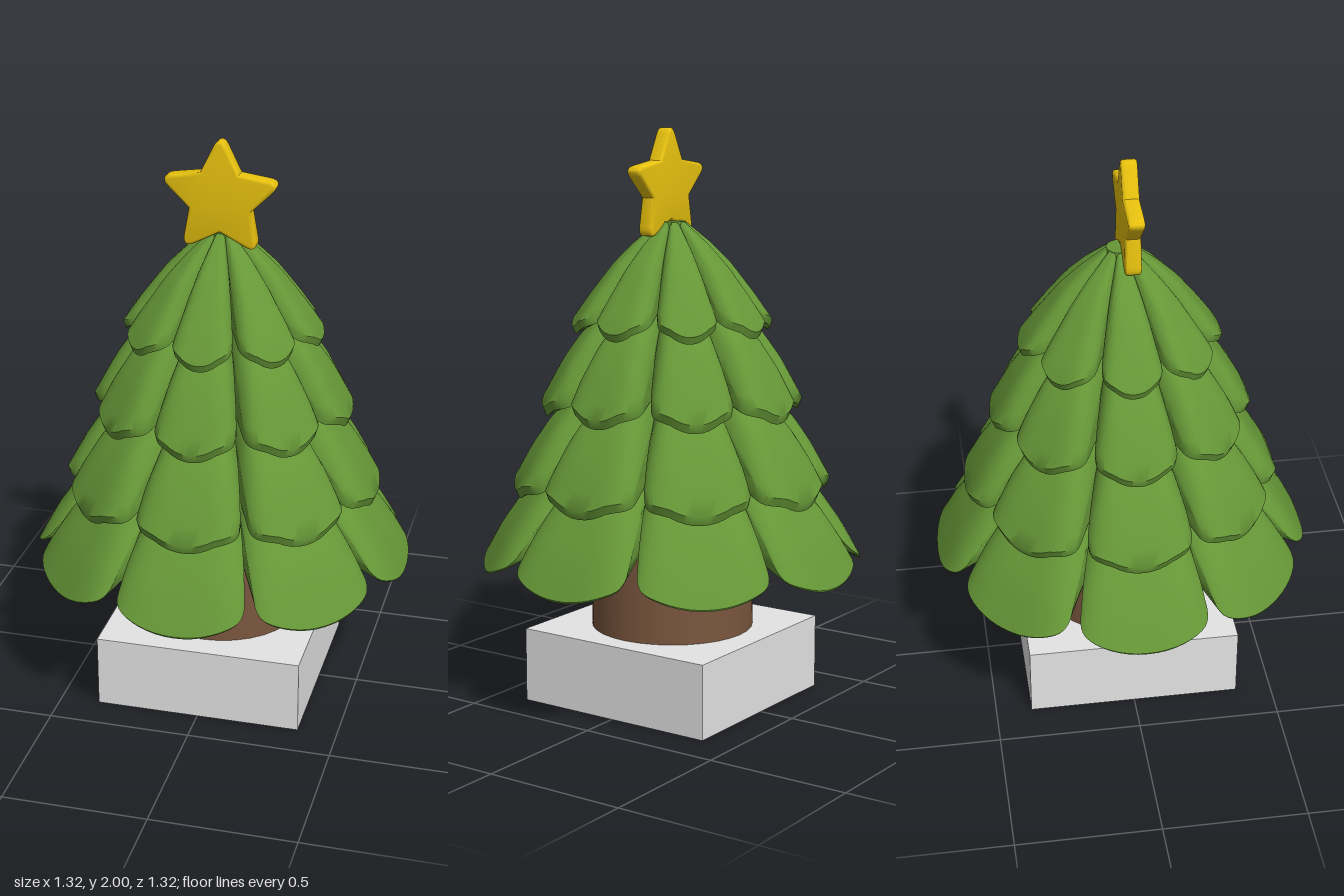
import * as THREE from 'three';
import { toCreasedNormals } from 'three/addons/utils/BufferGeometryUtils.js';

const leafGreen = new THREE.MeshStandardMaterial({ name: 'leaf green', color: 0x669737 });
const barkBrown = new THREE.MeshStandardMaterial({ name: 'bark brown', color: 0x7a563e });
const stoneGrey = new THREE.MeshStandardMaterial({ name: 'stone grey', color: 0xe4e4e4 });
const starGold = new THREE.MeshStandardMaterial({ name: 'star gold', color: 0xe8c20f });

// Each tier: ridge profile [radius, height], rounding of the tip, sag of the sides,
// thickness of the lip and the inner end [radius, height] of the underside
const tiers = [
  { ridge: [[0.045, 1.68], [0.13, 1.61], [0.2, 1.54], [0.28, 1.435], [0.335, 1.355], [0.348, 1.325]],
    round: 0.12, sag: 0.085, lip: 0.025, inner: [0.1, 1.42] },
  { ridge: [[0.15, 1.43], [0.24, 1.37], [0.31, 1.3], [0.37, 1.215], [0.44, 1.085], [0.453, 1.05]],
    round: 0.12, sag: 0.125, lip: 0.03, inner: [0.18, 1.13] },
  { ridge: [[0.22, 1.18], [0.34, 1.09], [0.42, 1.0], [0.48, 0.91], [0.54, 0.8], [0.552, 0.765]],
    round: 0.11, sag: 0.115, lip: 0.03, inner: [0.25, 0.87] },
  { ridge: [[0.3, 0.93], [0.42, 0.845], [0.51, 0.74], [0.58, 0.64], [0.63, 0.55], [0.662, 0.487]],
    round: 0.11, sag: 0.085, lip: 0.006, inner: [0.25, 0.66] },
];

// Height of the ridge at radius r
function ridgeHeight(ridge, r) {
  let i = 1;
  while (i < ridge.length - 1 && r > ridge[i][0]) i++;
  const [r0, y0] = ridge[i - 1], [r1, y1] = ridge[i];
  return y0 + (y1 - y0) * (r - r0) / (r1 - r0);
}

// One domed wedge-shaped bough with a rounded tip, pointing to +z
function boughGeometry({ ridge, round, sag, lip, inner }) {
  const across = 24, along = 14;
  const slope = Math.tan(Math.PI / 8);
  const rStart = ridge[0][0], rTip = ridge[ridge.length - 1][0];
  const positions = [], indices = [];
  for (let i = 0; i <= across; i++) {
    const t = (i / across - 0.5) * Math.PI;
    const u = Math.sin(t);
    const rEnd = rTip - round * (1 - Math.cos(t)) ** 1.1;
    let r, x, y;
    for (let j = 0; j <= along; j++) {
      const s = j / along;
      r = rStart + (rEnd - rStart) * s;
      // The wedge narrows slightly towards its tip
      x = u * slope * r * (1 - 0.07 * s * s);
      y = ridgeHeight(ridge, r) - Math.min(sag, 0.4 * r) * u ** 4;
      positions.push(x, y, r);
    }
    // Lip, then the underside running inward
    positions.push(x * 0.98, y - lip, r - 0.4 * lip);
    positions.push(u * slope * inner[0], inner[1], inner[0]);
  }
  const row = along + 3;
  for (let i = 0; i < across; i++) {
    for (let j = 0; j < row - 1; j++) {
      const a = i * row + j, b = a + row;
      indices.push(a, a + 1, b, b, a + 1, b + 1);
    }
  }
  // Side walls, fanned from the inner end of the underside
  const first = row - 1, last = across * row + row - 1;
  for (let j = 0; j < row - 2; j++) {
    const k = across * row + j;
    indices.push(first, j + 1, j, last, k, k + 1);
  }
  const geometry = new THREE.BufferGeometry();
  geometry.setAttribute('position', new THREE.Float32BufferAttribute(positions, 3));
  geometry.setIndex(indices);
  return toCreasedNormals(geometry, 0.8);
}

// Five-pointed star with softened tips
function starGeometry() {
  const outer = 0.213, inner = 0.106, depth = 0.055, bevel = 0.01;
  const point = (k) => {
    const a = Math.PI / 2 + k * Math.PI / 5, r = k % 2 ? inner : outer;
    return new THREE.Vector2(Math.cos(a) * r, Math.sin(a) * r);
  };
  const shape = new THREE.Shape();
  for (let k = 0; k < 10; k += 2) {
    const tip = point(k);
    const before = tip.clone().lerp(point(k + 9), 0.3);
    const after = tip.clone().lerp(point(k + 1), 0.3);
    if (k === 0) shape.moveTo(before.x, before.y);
    else shape.lineTo(before.x, before.y);
    shape.quadraticCurveTo(tip.x, tip.y, after.x, after.y);
    const notch = point(k + 1);
    shape.lineTo(notch.x, notch.y);
  }
  shape.closePath();
  const geometry = new THREE.ExtrudeGeometry(shape, {
    depth: depth - 2 * bevel, bevelSize: bevel, bevelThickness: bevel,
    bevelOffset: -bevel / 2, bevelSegments: 3, curveSegments: 6,
  });
  return toCreasedNormals(geometry.translate(0, 0, bevel), 0.7);
}

// Rectangle outline, for the hollow base
function rectangle(path, hx, hz) {
  path.moveTo(-hx, -hz);
  path.lineTo(hx, -hz);
  path.lineTo(hx, hz);
  path.lineTo(-hx, hz);
  path.closePath();
  return path;
}

export function createModel() {
  const model = new THREE.Group();
  model.name = 'decorated tree';
  const add = (parent, name, geometry, material, x = 0, y = 0, z = 0) => {
    const mesh = new THREE.Mesh(geometry, material);
    mesh.name = name;
    mesh.position.set(x, y, z);
    parent.add(mesh);
    return mesh;
  };

  // Square base, hollow from below
  const base = new THREE.Group();
  base.name = 'base';
  const frame = rectangle(new THREE.Shape(), 0.362, 0.374);
  frame.holes.push(rectangle(new THREE.Path(), 0.305, 0.315));
  const walls = new THREE.ExtrudeGeometry(frame, { depth: 0.2, bevelEnabled: false });
  add(base, 'baseWalls', walls.rotateX(-Math.PI / 2), stoneGrey);
  add(base, 'baseTop', new THREE.BoxGeometry(0.724, 0.06, 0.748), stoneGrey, 0, 0.23, 0);
  model.add(base);

  // Trunk
  add(model, 'trunk', new THREE.CylinderGeometry(0.284, 0.284, 0.46, 32), barkBrown, 0, 0.49, 0);

  // Four tiers of eight boughs
  tiers.forEach((tier, index) => {
    const group = new THREE.Group();
    group.name = `boughTier${index + 1}`;
    const geometry = boughGeometry(tier);
    for (let k = 0; k < 8; k++) {
      add(group, 'bough', geometry, leafGreen).rotation.y = k * Math.PI / 4;
    }
    model.add(group);
  });

  // Crown closing the top of the boughs
  add(model, 'crown', new THREE.CylinderGeometry(0.046, 0.05, 0.03, 24), leafGreen, 0, 1.666, 0);

  // Star
  add(model, 'star', starGeometry(), starGold, 0, 1.798, 0);
  return model;
}
